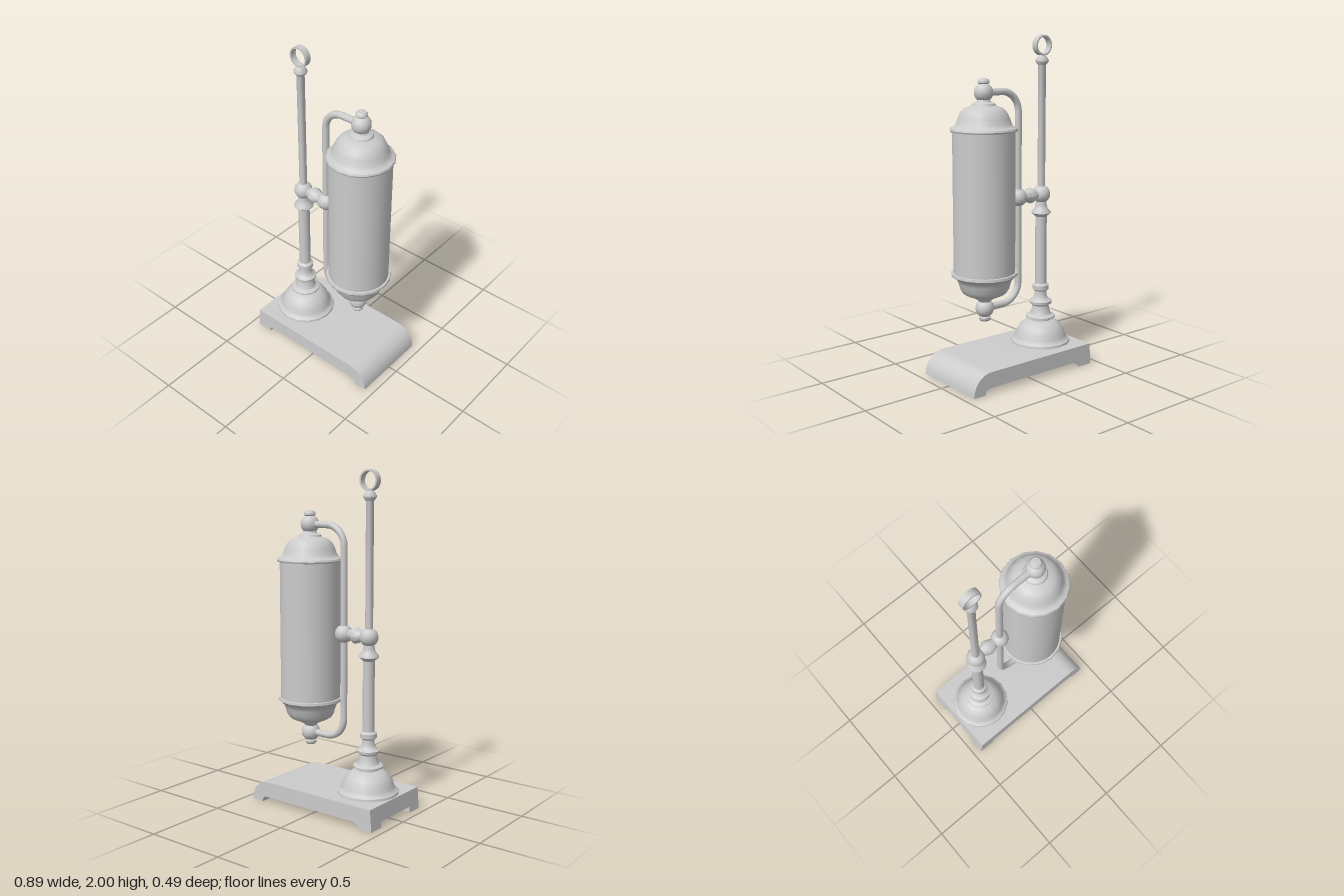
import * as THREE from 'three';
import { toCreasedNormals } from 'three/addons/utils/BufferGeometryUtils.js';

const POST_X = -0.25, LAMP_X = 0.183, ARM_X = -0.07, ARM_Y = 1.055;

export function createModel() {
  const model = new THREE.Group();
  const material = new THREE.MeshStandardMaterial({ color: 0xcccccc, side: THREE.DoubleSide });

  const add = (name, geometry, x = 0, y = 0, z = 0) => {
    const mesh = new THREE.Mesh(geometry, material);
    mesh.name = name;
    mesh.position.set(x, y, z);
    model.add(mesh);
    return mesh;
  };
  // Turned part from [radius, height] pairs, bottom to top
  const turned = (points, sides = 16) => toCreasedNormals(
    new THREE.LatheGeometry(points.map(([r, y]) => new THREE.Vector2(r, y)), sides), 0.7);
  const ball = (name, r, x, y) => add(name, new THREE.SphereGeometry(r, 14, 10), x, y);
  // Front outline pushed back along z
  const slab = (shape, depth) => toCreasedNormals(
    new THREE.ExtrudeGeometry(shape, { depth, bevelEnabled: false, curveSegments: 8 }), 0.6);

  // Plinth: rounded right end that runs down into a full-width foot
  const plinth = new THREE.Shape();
  plinth.moveTo(-0.447, 0.035);
  plinth.lineTo(-0.44, 0.13);
  plinth.lineTo(0.325, 0.13);
  plinth.bezierCurveTo(0.395, 0.13, 0.445, 0.07, 0.445, 0);
  plinth.lineTo(0.365, 0);
  plinth.quadraticCurveTo(0.365, 0.035, 0.33, 0.035);
  plinth.closePath();
  add('plinth', slab(plinth, 0.49), 0, 0, -0.245);

  // Two separate feet at the left corners
  const foot = new THREE.Shape();
  foot.moveTo(-0.45, 0);
  foot.lineTo(-0.447, 0.036);
  foot.lineTo(-0.32, 0.036);
  foot.quadraticCurveTo(-0.348, 0.036, -0.352, 0);
  foot.closePath();
  for (const z of [-0.245, 0.145]) add('cornerFoot', slab(foot, 0.1), 0, 0, z);

  // Stand: flared foot, turned rings and lower column
  add('standFoot', turned([
    [0, 0.13], [0.183, 0.13], [0.181, 0.143], [0.165, 0.152], [0.157, 0.17], [0.147, 0.2],
    [0.13, 0.23], [0.105, 0.252], [0.085, 0.262], [0.065, 0.268], [0.065, 0.278],
    [0.09, 0.284], [0.09, 0.294], [0.066, 0.305], [0.055, 0.33], [0.05, 0.36],
    [0.068, 0.372], [0.07, 0.388], [0.05, 0.398], [0.038, 0.42], [0.037, 0.452],
    [0.05, 0.462], [0.05, 0.488], [0.035, 0.5],
  ]), POST_X);
  add('lowerColumn', turned([
    [0.035, 0.495], [0.035, 0.918], [0.042, 0.925], [0.06, 0.94], [0.058, 0.95],
    [0.04, 0.968], [0.034, 0.99], [0.03, 1.03],
  ]), POST_X);
  add('upperRod', turned([
    [0.023, 1.03], [0.023, 1.825], [0.039, 1.845], [0.039, 1.855], [0.023, 1.88], [0, 1.888],
  ]), POST_X);

  // Flat hanging ring on top
  const ring = new THREE.Shape();
  ring.absarc(0, 0, 0.06, 0, Math.PI * 2);
  const hole = new THREE.Path();
  hole.absarc(0, 0, 0.05, 0, Math.PI * 2, true);
  ring.holes.push(hole);
  add('topRing', slab(ring, 0.04), POST_X, 1.94, -0.02);

  // Joint between the stand and the bracket
  ball('postJoint', 0.055, POST_X, ARM_Y);
  ball('bracketJoint', 0.054, ARM_X, ARM_Y);
  add('jointLink', turned([[0.025, -0.065], [0.03, -0.045], [0.047, -0.008], [0.047, 0.008],
    [0.03, 0.045], [0.025, 0.065]], 10), -0.16, ARM_Y).rotation.z = Math.PI / 2;

  // Bracket tube with rounded corners
  const v = (x, y) => new THREE.Vector3(x, y, 0);
  const [low, high, bend] = [0.422, 1.683, 0.12];
  const path = new THREE.CurvePath();
  path.add(new THREE.LineCurve3(v(LAMP_X, high), v(ARM_X + bend, high)));
  path.add(new THREE.CubicBezierCurve3(v(ARM_X + bend, high), v(ARM_X + bend * 0.45, high),
    v(ARM_X, high - bend * 0.45), v(ARM_X, high - bend)));
  path.add(new THREE.LineCurve3(v(ARM_X, high - bend), v(ARM_X, low + bend)));
  path.add(new THREE.CubicBezierCurve3(v(ARM_X, low + bend), v(ARM_X, low + bend * 0.45),
    v(ARM_X + bend * 0.45, low), v(ARM_X + bend, low)));
  path.add(new THREE.LineCurve3(v(ARM_X + bend, low), v(LAMP_X, low)));
  add('bracket', new THREE.TubeGeometry(path, 120, 0.021, 10));

  // Cylinder body with domed caps
  add('cylinderBody', new THREE.CylinderGeometry(0.18, 0.18, 0.85, 32), LAMP_X, 1.055);
  add('upperCap', turned([
    [0.175, 1.463], [0.192, 1.465], [0.196, 1.474], [0.192, 1.484], [0.172, 1.492],
    [0.16, 1.51], [0.15, 1.54], [0.135, 1.572], [0.112, 1.595], [0.085, 1.605],
    [0.07, 1.61], [0.065, 1.622], [0.042, 1.632], [0.034, 1.65],
  ]), LAMP_X);
  add('lowerCap', turned([
    [0.034, 0.46], [0.042, 0.475], [0.062, 0.485], [0.068, 0.497], [0.1, 0.503],
    [0.128, 0.518], [0.145, 0.545], [0.155, 0.58], [0.165, 0.605], [0.185, 0.618],
    [0.196, 0.628], [0.194, 0.642], [0.175, 0.644],
  ]), LAMP_X);

  // Ball ends with small knobs, mirrored top and bottom
  for (const [y, dir] of [[high, 1], [low, -1]]) {
    ball('endBall', 0.056, LAMP_X, y);
    add('endKnob', turned([[0.025, 0.045], [0.035, 0.054], [0.035, 0.066], [0.026, 0.077], [0, 0.082]], 10),
      LAMP_X, y).rotation.x = dir > 0 ? 0 : Math.PI;
  }
  return model;
}
